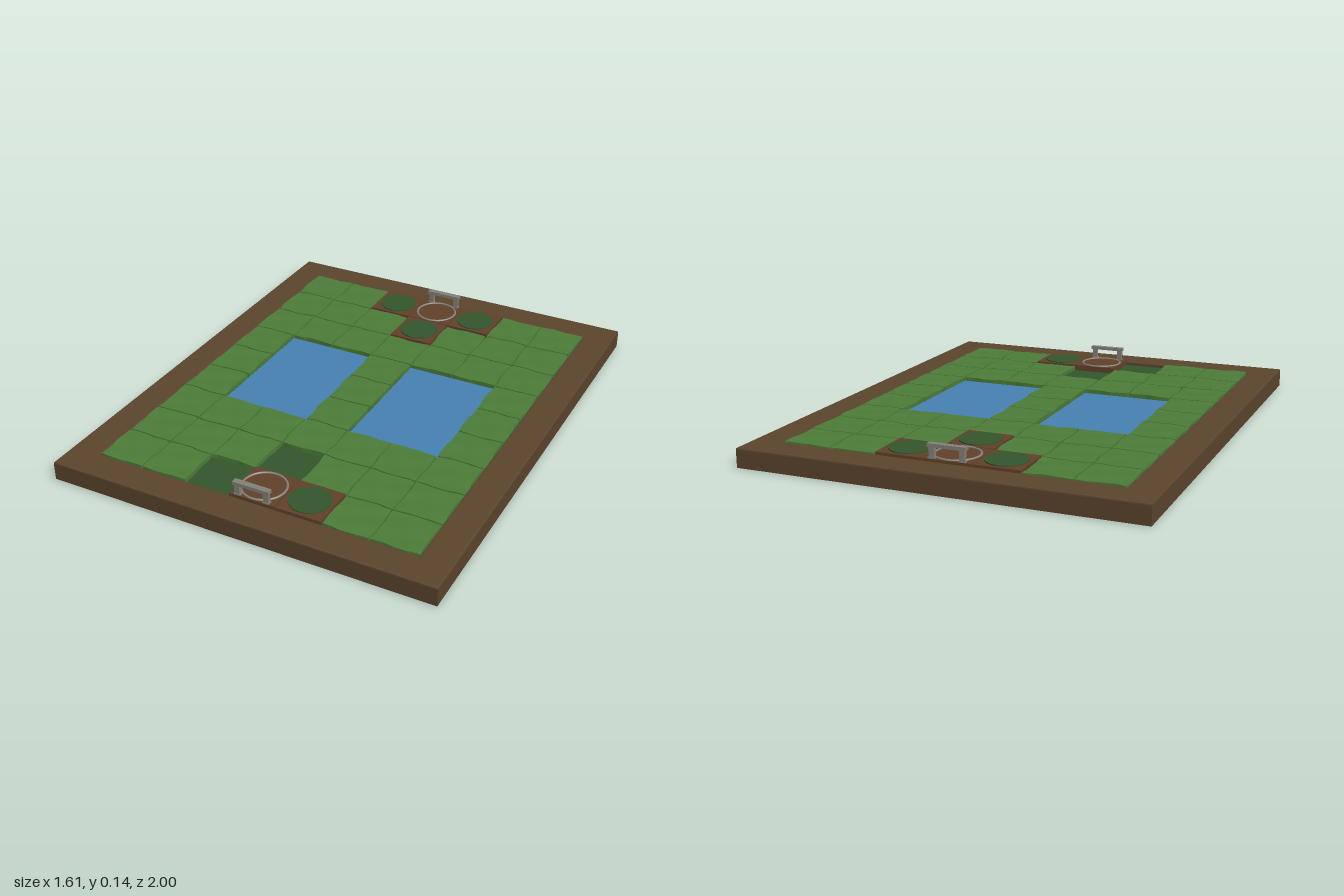
import * as THREE from 'three';

const CELL = 0.194;
const paint = (name, color) => {
  const m = new THREE.MeshStandardMaterial({ color });
  m.name = name;
  return m;
};

export function createModel() {
  const root = new THREE.Group();
  root.name = 'gameBoard';
  const wood = paint('dark wood', 0x5c452d);
  const earth = paint('reddish wood', 0x63422a);
  const grass = paint('grass green', 0x4d7e39);
  const moss = paint('deep green', 0x33572b);
  const water = paint('water blue', 0x4682b4);
  const stone = paint('stone grey', 0x87827a);

  const add = (parent, name, geo, mat, x = 0, y = 0, z = 0) => {
    const mesh = new THREE.Mesh(geo, mat);
    mesh.name = name;
    mesh.position.set(x, y, z);
    parent.add(mesh);
    return mesh;
  };
  const box = (parent, name, mat, w, h, d, x, y, z) =>
    add(parent, name, new THREE.BoxGeometry(w, h, d), mat, x, y, z);

  // Slab and bevelled border around the sunken playing field
  box(root, 'baseSlab', wood, 1.61, 0.06, 2, 0, 0.03, 0);
  const B = 0.004;
  const rect = (P, w, h) => new P([
    new THREE.Vector2(-w, -h), new THREE.Vector2(w, -h),
    new THREE.Vector2(w, h), new THREE.Vector2(-w, h)]);
  const frameShape = rect(THREE.Shape, 0.805 - B, 1 - B);
  frameShape.holes.push(rect(THREE.Path, 0.679 + B, 0.873 + B));
  const frame = new THREE.ExtrudeGeometry(frameShape, {
    depth: 0.014, bevelThickness: 0.007, bevelSize: B, bevelSegments: 2 });
  frame.rotateX(-Math.PI / 2);
  add(root, 'borderFrame', frame, wood, 0, 0.057, 0);
  box(root, 'fieldFloor', moss, 1.362, 0.004, 1.75, 0, 0.0605, 0);

  // Two ponds set below the grass
  for (const s of [-1, 1]) {
    box(root, 'pond', water, CELL * 2, 0.004, CELL * 3, s * CELL * 1.5, 0.063, 0);
  }

  // Uneven grass tile: wavy top, edges drawn in here and there
  const wave = (x, z) => Math.sin(x * 37 + z * 11) * Math.sin(z * 43 - x * 17 + 1);
  const grassTile = (cx, cz) => {
    const geo = new THREE.BoxGeometry(CELL, 0.018, CELL, 12, 1, 12);
    const p = geo.attributes.position;
    const half = CELL / 2;
    for (let i = 0; i < p.count; i++) {
      let x = p.getX(i), z = p.getZ(i);
      const wx = x + cx, wz = z + cz;
      if (p.getY(i) > 0) p.setY(i, 0.0095 + 0.0016 * wave(wx, wz));
      const inX = THREE.MathUtils.clamp(0.004 + 0.007 * Math.sin(wz * 29 + cx * 50), 0.0004, 0.005);
      const inZ = THREE.MathUtils.clamp(0.004 + 0.007 * Math.sin(wx * 31 + cz * 47), 0.0004, 0.005);
      if (Math.abs(x) > half - 1e-4) x -= Math.sign(x) * inX;
      if (Math.abs(z) > half - 1e-4) z -= Math.sign(z) * inZ;
      p.setX(i, x);
      p.setZ(i, z);
    }
    geo.computeVertexNormals();
    add(root, 'grassTile', geo, grass, cx, 0.0715, cz);
  };

  // Wooden tile with a green disc
  const trapTile = (x, z) => {
    const g = new THREE.Group();
    g.name = 'trapTile';
    g.position.set(x, 0, z);
    root.add(g);
    box(g, 'trapBase', earth, 0.19, 0.025, 0.19, 0, 0.0745, 0);
    add(g, 'trapDisc', new THREE.CylinderGeometry(0.082, 0.082, 0.005, 32), moss, 0, 0.0885, 0);
  };

  // Wooden tile with a stone ring and a small gate at its outer edge
  const denTile = (z, s) => {
    const g = new THREE.Group();
    g.name = 'denTile';
    g.position.set(0, 0, z);
    root.add(g);
    box(g, 'denBase', earth, 0.19, 0.025, 0.19, 0, 0.0745, 0);
    const ring = new THREE.TorusGeometry(0.087, 0.005, 8, 40);
    ring.rotateX(Math.PI / 2);
    add(g, 'denRing', ring, stone, 0, 0.087, 0);
    const gz = s * 0.085;
    for (const x of [-0.061, 0.061]) {
      box(g, 'gatePost', stone, 0.022, 0.05, 0.016, x, 0.111, gz);
      box(g, 'gateFoot', stone, 0.027, 0.006, 0.02, x, 0.09, gz);
    }
    box(g, 'gateLintel', stone, 0.154, 0.014, 0.024, 0, 0.138, gz);
  };

  // Lay out the seven by nine field; two cells are left open to the floor
  for (let r = -4; r <= 4; r++) {
    for (let c = -3; c <= 3; c++) {
      const x = c * CELL, z = r * CELL, a = Math.abs(c), b = Math.abs(r);
      if (b <= 1 && (a === 1 || a === 2)) continue;
      if (b === 4 && c === 0) denTile(z, Math.sign(r));
      else if ((b === 4 && a === 1) || (b === 3 && a === 0)) {
        if (r < 0 || c === 1) trapTile(x, z);
      } else grassTile(x, z);
    }
  }
  return root;
}
